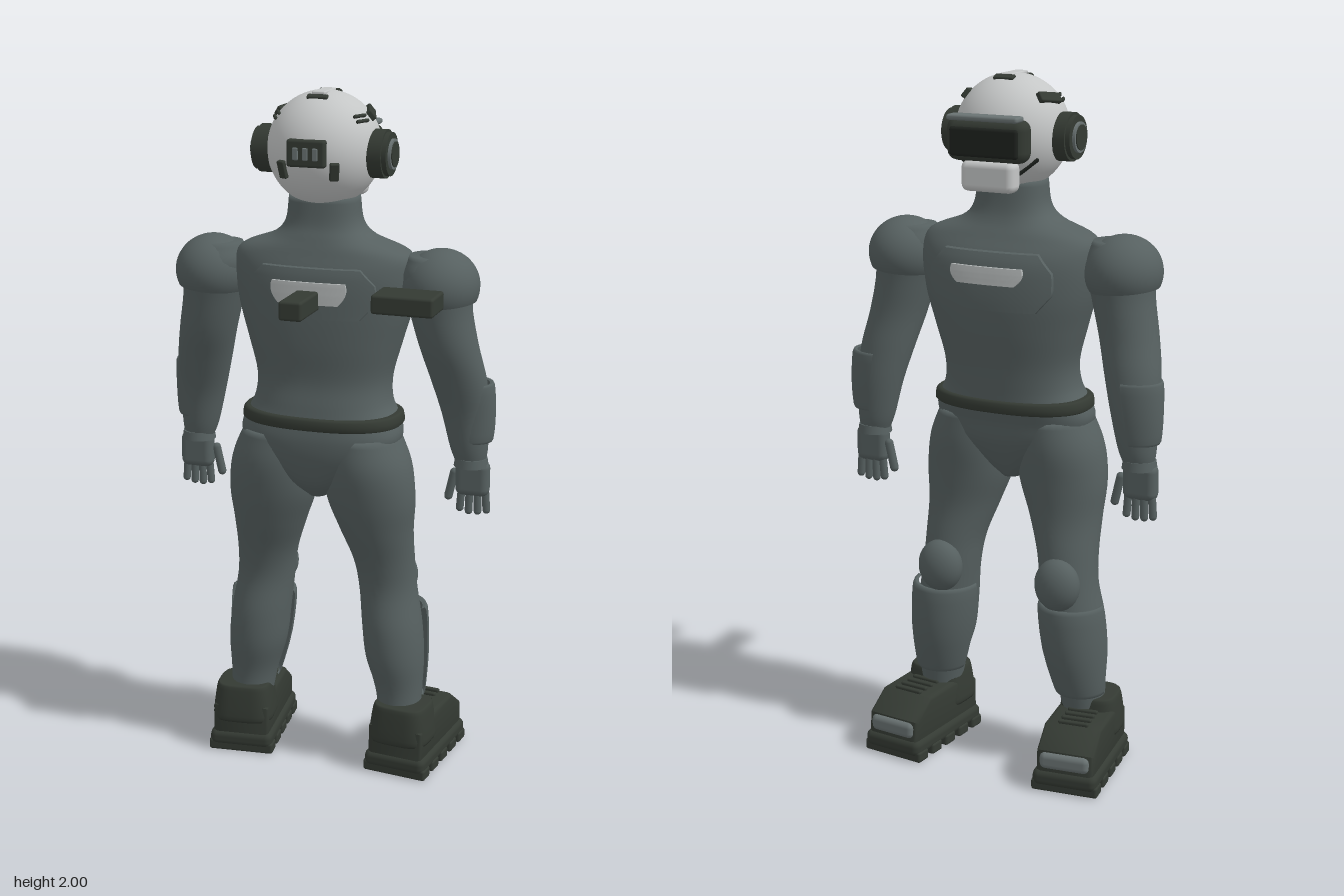
import * as THREE from 'three';
import { RoundedBoxGeometry } from 'three/addons/geometries/RoundedBoxGeometry.js';
import { toCreasedNormals } from 'three/addons/utils/BufferGeometryUtils.js';

const paint = (name, color, side = THREE.FrontSide) => {
  const m = new THREE.MeshStandardMaterial({ color, side });
  m.name = name;
  return m;
};
const suit = paint('suit grey', 0x566060, THREE.DoubleSide);
const dark = paint('dark green', 0x343a33);
const shell = paint('helmet white', 0xc4c6c6);
const panel = paint('panel light grey', 0xb0b4b4, THREE.DoubleSide);
const trim = paint('trim grey', 0x6a7373);
const slot = paint('slot black', 0x1e221e);

function add(parent, name, geo, mat, x = 0, y = 0, z = 0) {
  const m = new THREE.Mesh(geo, mat);
  m.name = name;
  m.position.set(x, y, z);
  parent.add(m);
  return m;
}
const rbox = (w, h, d, r = 0.01) => new RoundedBoxGeometry(w, h, d, 2, Math.min(r, w / 2.1, h / 2.1, d / 2.1));

// Smooth rings from rows [y, xCentre, xRadius, zCentre, zRadius], bottom to top
function ringsOf(rows, steps) {
  const curve = (pts) => new THREE.CatmullRomCurve3(pts, false, 'catmullrom', 0.5);
  const mid = curve(rows.map((r) => new THREE.Vector3(r[1], r[0], r[3])));
  const rad = curve(rows.map((r) => new THREE.Vector3(r[2], 0, r[4])));
  const n = (rows.length - 1) * steps;
  return Array.from({ length: n + 1 }, (_, i) => ({ c: mid.getPoint(i / n), r: rad.getPoint(i / n) }));
}
const spow = (v, p) => Math.sign(v) * Math.pow(Math.abs(v), p);

// Loft through the rings; an arc gives an open shell, otherwise closed with caps
function loft(rows, { steps = 5, power = 2, arc = null, seg = 32 } = {}) {
  const rings = ringsOf(rows, steps), pos = [], idx = [];
  const [a0, a1] = arc || [0, Math.PI * 2];
  const cols = arc ? seg + 1 : seg;
  for (const { c, r } of rings) {
    for (let j = 0; j < cols; j++) {
      const a = a0 + (a1 - a0) * j / seg;
      pos.push(c.x + r.x * spow(Math.sin(a), 2 / power), c.y, c.z + r.z * spow(Math.cos(a), 2 / power));
    }
  }
  for (let i = 0; i < rings.length - 1; i++) {
    for (let j = 0; j < seg; j++) {
      const k = (j + 1) % cols, b = i * cols, t = b + cols;
      idx.push(b + j, b + k, t + j, b + k, t + k, t + j);
    }
  }
  if (!arc) {
    const last = (rings.length - 1) * cols, p = pos.length / 3;
    for (const { c } of [rings[0], rings[rings.length - 1]]) pos.push(c.x, c.y, c.z);
    for (let j = 0; j < seg; j++) {
      const k = (j + 1) % cols;
      idx.push(p, k, j, p + 1, last + j, last + k);
    }
  }
  const g = new THREE.BufferGeometry();
  g.setAttribute('position', new THREE.Float32BufferAttribute(pos, 3));
  g.setIndex(idx);
  g.computeVertexNormals();
  return g;
}

const torsoRows = [
  [0.85, 0, 0.03, 0.01, 0.06], [0.9, 0, 0.1, 0.015, 0.1], [0.97, 0, 0.2, 0.01, 0.128],
  [1.03, 0, 0.235, 0.008, 0.136], [1.08, 0, 0.226, -0.003, 0.14], [1.13, 0, 0.2, -0.01, 0.138],
  [1.2, 0, 0.196, -0.02, 0.136], [1.3, 0, 0.222, -0.025, 0.148], [1.4, 0, 0.25, -0.028, 0.153],
  [1.5, 0, 0.262, -0.025, 0.145], [1.56, 0, 0.245, -0.018, 0.118], [1.6, 0, 0.148, -0.014, 0.098],
  [1.64, 0, 0.11, -0.015, 0.084], [1.71, 0, 0.1, -0.015, 0.076]];
const torsoRings = ringsOf(torsoRows, 20);

// Curved plate hugging the torso; halfWidth depends on v in -1..1
function torsoPlate(side, y0, y1, halfWidth, lift) {
  const g = new THREE.PlaneGeometry(2.16, 2.3, 26, 12), p = g.attributes.position;
  for (let i = 0; i < p.count; i++) {
    const u = p.getX(i), v = p.getY(i), cu = THREE.MathUtils.clamp(u, -1, 1), cv = THREE.MathUtils.clamp(v, -1, 1);
    const rim = Math.abs(u) > 1.05 || Math.abs(v) > 1.1;
    const x = cu * halfWidth(cv), y = y0 + (y1 - y0) * (cv + 1) / 2;
    const ring = torsoRings.reduce((a, b) => (Math.abs(b.c.y - y) < Math.abs(a.c.y - y) ? b : a));
    const depth = ring.r.z * Math.pow(1 - Math.pow(Math.min(0.98, Math.abs(x) / ring.r.x), 2.4), 1 / 2.4);
    p.setXYZ(i, side * x, y, ring.c.z + side * (depth + (rim ? -0.004 : lift)));
  }
  return toCreasedNormals(g, 0.6);
}

function buildArm() {
  const g = new THREE.Group();
  add(g, 'arm', loft([[0.95, 0.418, 0.042, -0.08, 0.038], [1.0, 0.412, 0.055, -0.08, 0.05],
    [1.1, 0.4, 0.068, -0.075, 0.06], [1.2, 0.385, 0.08, -0.055, 0.072], [1.3, 0.362, 0.084, -0.03, 0.082],
    [1.4, 0.34, 0.088, -0.02, 0.09], [1.5, 0.325, 0.095, -0.015, 0.098], [1.56, 0.31, 0.06, -0.015, 0.06]]), suit);
  const pad = add(g, 'shoulderPad', new THREE.SphereGeometry(1, 36, 20, 0, Math.PI * 2, 0, 2.05), suit, 0.338, 1.475, -0.018);
  pad.scale.set(0.108, 0.103, 0.116);
  pad.rotation.z = 0.08;
  add(g, 'forearmGuard', loft([[1.02, 0.414, 0.055, -0.084, 0.05], [1.025, 0.414, 0.067, -0.084, 0.056],
    [1.1, 0.406, 0.08, -0.084, 0.063], [1.185, 0.394, 0.088, -0.078, 0.07], [1.19, 0.394, 0.075, -0.076, 0.06]],
    { steps: 3, arc: [-0.1, Math.PI + 0.1] }), suit);
  // Hand
  add(g, 'wristCuff', new THREE.CylinderGeometry(0.046, 0.05, 0.025, 24), suit, 0.42, 0.955, -0.08);
  add(g, 'palm', rbox(0.1, 0.105, 0.05, 0.022), suit, 0.425, 0.905, -0.082);
  for (let i = 0; i < 4; i++) {
    const f = add(g, 'finger', new THREE.CapsuleGeometry(0.0115, 0.07 - 0.012 * Math.abs(i - 1.4), 4, 10), suit,
      0.389 + i * 0.025, 0.835, -0.088);
    f.rotation.z = (i - 1.5) * 0.05;
  }
  const thumb = add(g, 'thumb', new THREE.CapsuleGeometry(0.0125, 0.075, 4, 10), suit, 0.36, 0.877, -0.09);
  thumb.rotation.z = -0.22;
  return g;
}

function buildLeg() {
  const g = new THREE.Group();
  add(g, 'leg', loft([[0.15, 0.235, 0.06, -0.02, 0.065], [0.25, 0.228, 0.07, -0.028, 0.075],
    [0.35, 0.215, 0.086, -0.028, 0.095], [0.45, 0.205, 0.088, -0.03, 0.098], [0.56, 0.19, 0.085, -0.036, 0.088],
    [0.65, 0.18, 0.09, -0.025, 0.09], [0.75, 0.163, 0.108, -0.002, 0.1], [0.85, 0.149, 0.129, 0.01, 0.116],
    [0.95, 0.14, 0.126, 0.012, 0.128], [1.04, 0.125, 0.105, 0.008, 0.12]]), suit);
  add(g, 'shinGuard', loft([[0.23, 0.228, 0.068, -0.035, 0.07], [0.235, 0.228, 0.077, -0.035, 0.078],
    [0.36, 0.215, 0.096, -0.042, 0.105], [0.49, 0.205, 0.1, -0.045, 0.106], [0.498, 0.205, 0.085, -0.04, 0.09]],
    { steps: 3, arc: [Math.PI / 2, Math.PI * 1.5] }), suit);
  add(g, 'kneePad', new THREE.SphereGeometry(1, 24, 16), suit, 0.188, 0.57, -0.115).scale.set(0.068, 0.078, 0.052);

  // Boot, turned slightly outward
  const boot = new THREE.Group();
  boot.name = 'boot';
  boot.position.set(0.25, 0, 0);
  boot.rotation.y = -0.11;
  g.add(boot);
  add(boot, 'sole', rbox(0.192, 0.05, 0.345, 0.02), dark, 0, 0.041, -0.098);
  for (let i = 0; i < 5; i++) add(boot, 'treadLug', rbox(0.198, 0.034, 0.05, 0.008), dark, 0, 0.017, 0.045 - i * 0.071);
  const side = new THREE.Shape([[-0.055, 0.06], [-0.055, 0.14], [0.05, 0.168], [0.18, 0.166], [0.245, 0.118], [0.25, 0.06]]
    .map(([x, y]) => new THREE.Vector2(x, y)));
  const upper = new THREE.ExtrudeGeometry(side, { depth: 0.14, bevelSize: 0.012, bevelThickness: 0.015, bevelSegments: 3 });
  upper.translate(0, 0, -0.07).rotateY(Math.PI / 2);
  add(boot, 'bootUpper', toCreasedNormals(upper, 0.7), dark);
  add(boot, 'bootShaft', loft([[0.1, 0, 0.088, 0, 0.076], [0.12, 0, 0.092, 0, 0.08], [0.2, 0, 0.082, -0.002, 0.074],
    [0.215, 0, 0.074, -0.002, 0.068]], { steps: 3, power: 3.5 }), dark);
  add(boot, 'toeCap', rbox(0.15, 0.052, 0.07, 0.018), trim, 0, 0.095, -0.234);
  for (let i = 0; i < 4; i++) add(boot, 'lace', rbox(0.09, 0.012, 0.014, 0.005), dark, 0, 0.182, -0.085 - i * 0.03);
  return g;
}

function buildHead() {
  const g = new THREE.Group();
  g.name = 'head';
  const c = new THREE.Vector3(0, 1.839, -0.015), R = 0.16;
  add(g, 'helmet', new THREE.SphereGeometry(R, 48, 32), shell, c.x, c.y, c.z);
  // Detail projected onto the helmet and facing outward
  const onHead = (name, w, h, d, mat, x, y, z, roll = 0) => {
    const dir = new THREE.Vector3(x, y, z).sub(c).normalize();
    const m = add(g, name, rbox(w, h, d, 0.004), mat);
    m.position.copy(c).addScaledVector(dir, R);
    m.lookAt(c.clone().addScaledVector(dir, 2));
    m.rotateZ(roll);
  };
  for (const s of [1, -1]) {
    // Ear cup
    for (const [x, r, h, mat] of [[0.162, 0.067, 0.04, dark], [0.186, 0.06, 0.018, dark], [0.195, 0.042, 0.016, trim], [0.199, 0.035, 0.014, dark]]) {
      add(g, 'earCup', new THREE.CylinderGeometry(r, r, h, 32), mat, s * x, 1.832, -0.01).rotation.z = Math.PI / 2;
    }
    onHead('templeBlock', 0.08, 0.03, 0.018, dark, s * 0.125, 1.94, -0.045, s * 0.15);
    onHead('ventSlit', 0.048, 0.009, 0.014, dark, s * 0.125, 1.945, 0.04);
    onHead('ventSlit', 0.048, 0.009, 0.014, dark, s * 0.13, 1.928, 0.04);
    onHead('jawSlit', 0.07, 0.01, 0.01, slot, s * 0.1, 1.755, -0.12, -s * 0.8);
    onHead('rearClip', 0.026, 0.05, 0.02, dark, s * 0.072, 1.798, 0.12);
  }
  // Crown strip
  add(g, 'crownStrip', rbox(0.038, 0.01, 0.1, 0.004), shell, 0, 1.995, -0.008);
  onHead('crownClip', 0.06, 0.024, 0.01, dark, 0, 1.99, -0.068);
  onHead('crownClip', 0.06, 0.018, 0.01, dark, 0, 1.99, 0.05);
  // Rear vent
  add(g, 'rearVent', rbox(0.11, 0.075, 0.03, 0.008), dark, 0, 1.846, 0.137);
  for (const x of [-0.028, 0, 0.028]) add(g, 'rearVentSlot', rbox(0.016, 0.034, 0.008, 0.003), trim, x, 1.845, 0.151);
  // Visor, brow and chin piece
  add(g, 'visor', rbox(0.24, 0.118, 0.07, 0.03), dark, 0, 1.832, -0.163);
  add(g, 'visorLens', rbox(0.205, 0.08, 0.02, 0.009), slot, 0, 1.828, -0.193);
  add(g, 'visorBrow', rbox(0.212, 0.016, 0.05, 0.007), trim, 0, 1.893, -0.187);
  add(g, 'chinGuard', rbox(0.16, 0.085, 0.06, 0.02), shell, 0, 1.733, -0.155);
  return g;
}

export function createModel() {
  const model = new THREE.Group();
  model.name = 'armouredFigure';
  add(model, 'torso', loft(torsoRows, { power: 2.4, seg: 56 }), suit);
  add(model, 'belt', loft([[1.064, 0, 0.225, -0.005, 0.14], [1.07, 0, 0.235, -0.005, 0.15],
    [1.095, 0, 0.232, -0.005, 0.15], [1.102, 0, 0.222, -0.005, 0.14]], { steps: 2, power: 2.4, seg: 56 }), dark);

  // Chest and back plates with light inlays
  const hex = (v) => 0.185 - 0.045 * Math.max(0, (Math.abs(v) - 0.35) / 0.65);
  const bar = (v) => 0.108 + 0.01 * v - 0.012 * v * v;
  add(model, 'chestPlate', torsoPlate(-1, 1.365, 1.53, hex, 0.012), suit);
  add(model, 'chestInlay', torsoPlate(-1, 1.44, 1.49, bar, 0.019), panel);
  add(model, 'backPlate', torsoPlate(1, 1.385, 1.53, hex, 0.01), suit);
  add(model, 'backInlay', torsoPlate(1, 1.428, 1.492, bar, 0.016), panel);

  // Rear equipment blocks
  add(model, 'backBlock', rbox(0.066, 0.054, 0.165, 0.008), dark, 0, 1.441, 0.198);
  add(model, 'shoulderBlock', rbox(0.174, 0.053, 0.116, 0.008), dark, 0.294, 1.463, 0.16);

  model.add(buildHead());
  for (const s of [1, -1]) {
    for (const [name, limb] of [['armAssembly', buildArm()], ['legAssembly', buildLeg()]]) {
      limb.name = (s > 0 ? 'left ' : 'right ') + name;
      limb.scale.x = s;
      model.add(limb);
    }
  }
  return model;
}
